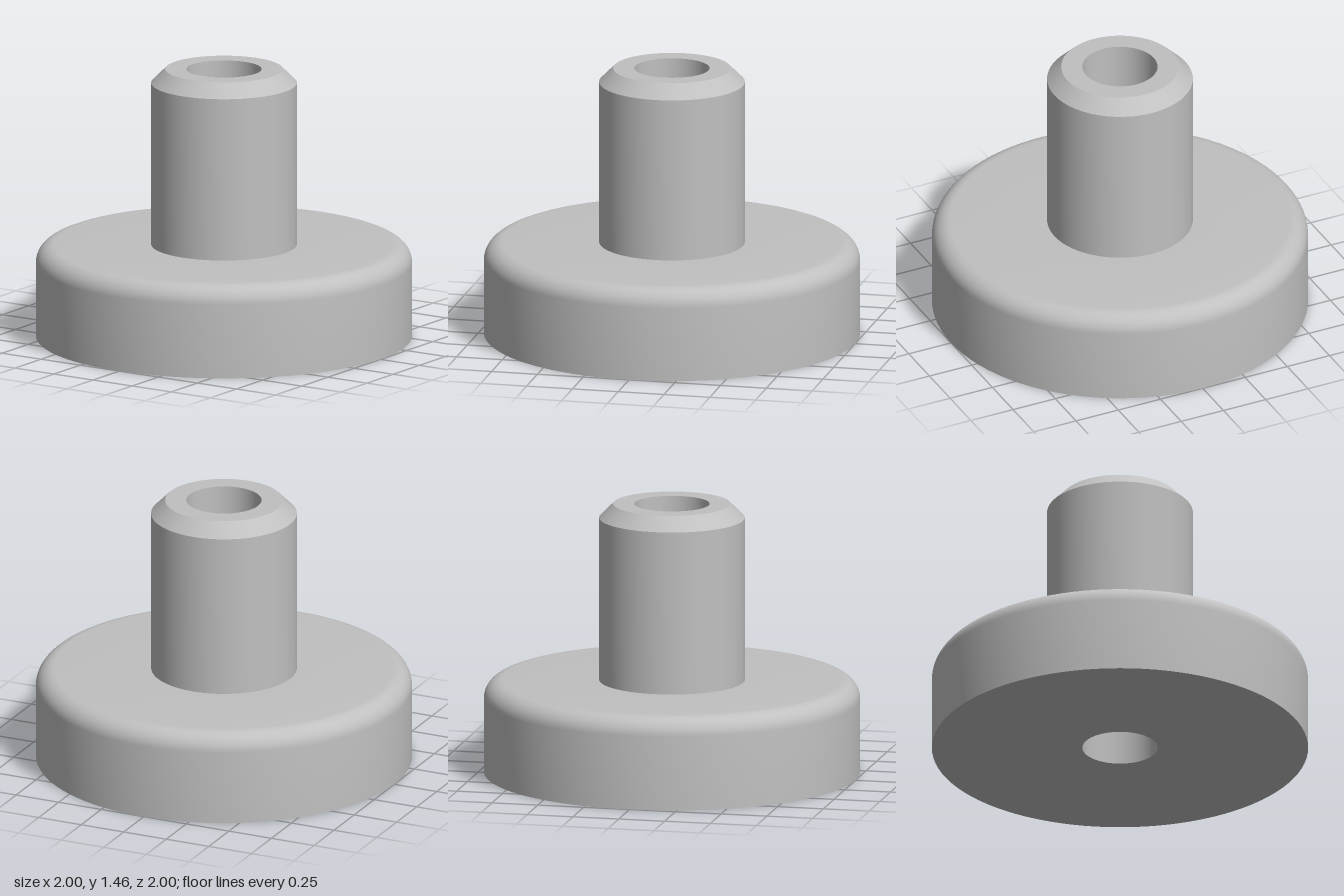
import * as THREE from 'three';
import { toCreasedNormals } from 'three/addons/utils/BufferGeometryUtils.js';

const BORE = 0.2, STEM = 0.3875, FLANGE = 1;
const FLANGE_TOP = 0.5, STEM_TOP = 1.455;
const FILLET = 0.1, CHAMFER = 0.075;

// Revolve a [radius, height] profile, smooth on curves and sharp at edges
function turned(name, profile, material) {
  const points = profile.map(([r, y]) => new THREE.Vector2(r, y));
  const geometry = toCreasedNormals(new THREE.LatheGeometry(points, 96), 0.5);
  const mesh = new THREE.Mesh(geometry, material);
  mesh.name = name;
  return mesh;
}

export function createModel() {
  const steel = new THREE.MeshStandardMaterial({ color: 0xc0c0c0 });
  steel.name = 'light grey steel';

  // Rounded upper rim of the flange
  const rim = [];
  for (let i = 0; i <= 10; i++) {
    const a = (i / 10) * Math.PI / 2;
    rim.push([
      FLANGE - FILLET + FILLET * Math.cos(a),
      FLANGE_TOP - FILLET + FILLET * Math.sin(a),
    ]);
  }

  const group = new THREE.Group();
  group.name = 'flangedBushing';
  group.add(
    // Wide disc: bore, underside, side wall, rounded rim, top face
    turned('flange', [
      [BORE, FLANGE_TOP], [BORE, 0], [FLANGE, 0], ...rim, [STEM, FLANGE_TOP],
    ], steel),
    // Hollow stem: outer wall, chamfer, end face, bore
    turned('stem', [
      [STEM, FLANGE_TOP], [STEM, STEM_TOP - CHAMFER],
      [STEM - CHAMFER, STEM_TOP], [BORE, STEM_TOP], [BORE, FLANGE_TOP],
    ], steel),
  );
  return group;
}
